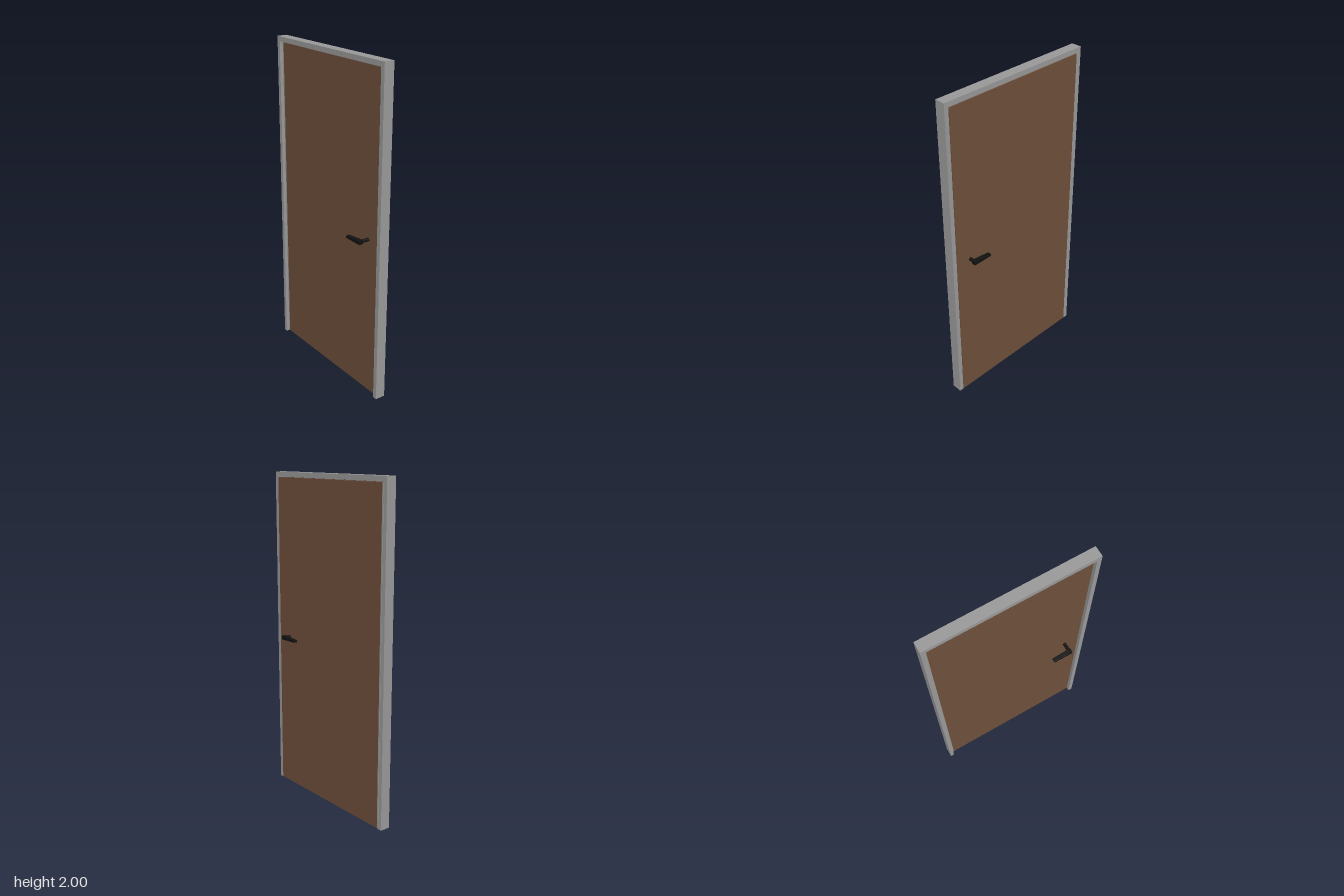
import * as THREE from 'three';

export function createModel() {
  const door = new THREE.Group();
  door.name = 'door';
  const material = (name, color) => {
    const m = new THREE.MeshStandardMaterial({ color });
    m.name = name;
    return m;
  };
  const grey = material('frame grey', 0x999999);
  const brown = material('wood brown', 0x6e4f3b);
  const black = material('handle black', 0x111111);

  const add = (name, geometry, mat, parent = door) => {
    const mesh = new THREE.Mesh(geometry, mat);
    mesh.name = name;
    parent.add(mesh);
    return mesh;
  };
  // box given by its minimum and maximum corners
  const box = (name, a, b, mat) =>
    add(name, new THREE.BoxGeometry(b[0] - a[0], b[1] - a[1], b[2] - a[2]), mat)
      .position.set((a[0] + b[0]) / 2, (a[1] + b[1]) / 2, (a[2] + b[2]) / 2);

  // frame: one inverted U, pushed through its depth along x
  const outline = new THREE.Shape();
  [[-0.5, 0], [-0.473, 0], [-0.473, 1.97], [0.476, 1.97], [0.476, 0], [0.5, 0], [0.5, 2], [-0.5, 2]]
    .forEach(([u, y], i) => (i ? outline.lineTo(u, y) : outline.moveTo(u, y)));
  const frame = new THREE.ExtrudeGeometry(outline, { depth: 0.063, bevelEnabled: false });
  frame.rotateY(Math.PI / 2).translate(-0.032, 0, 0);
  add('frame', frame, grey);

  // leaf, recessed on one side, with its grey hinge edging
  box('doorLeaf', [-0.012, 0.004, -0.466], [0.033, 1.967, 0.471], brown);
  box('hingeEdge', [-0.012, 0.004, -0.475], [0.0325, 1.967, -0.466], grey);

  // handles: round stem and tapering lever on each face
  const profile = new THREE.Shape();
  [[-0.384, 0.975], [-0.262, 0.977], [-0.262, 0.988], [-0.362, 0.998], [-0.384, 0.998]]
    .forEach(([u, y], i) => (i ? profile.lineTo(u, y) : profile.moveTo(u, y)));
  for (const side of [-1, 1]) {
    const handle = new THREE.Group();
    handle.name = side > 0 ? 'leftHandle' : 'rightHandle';
    door.add(handle);
    const stem = new THREE.CylinderGeometry(0.0105, 0.0105, 0.064, 24).rotateZ(Math.PI / 2);
    add('stem', stem, black, handle).position.set(side * 0.038, 0.987, 0.373);
    const lever = new THREE.ExtrudeGeometry(profile, {
      depth: 0.022, bevelThickness: 0.002, bevelSize: 0.001, bevelSegments: 2,
    });
    lever.rotateY(Math.PI / 2).translate(side * 0.0725 - 0.011, 0, 0);
    add('lever', lever, black, handle);
  }
  return door;
}
